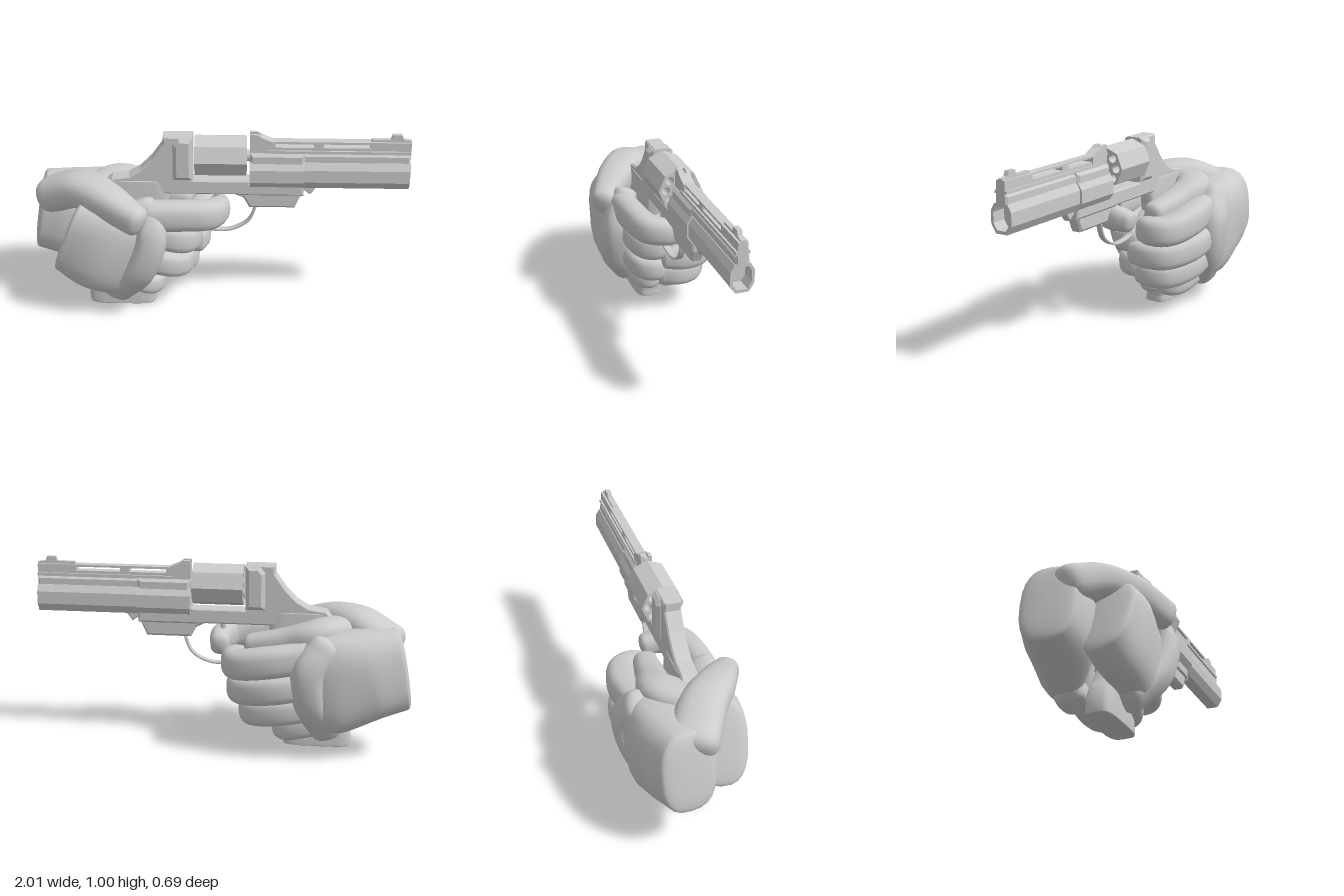
import * as THREE from 'three';

const material = new THREE.MeshStandardMaterial({ color: 0xcccccc });
const V = (x, y, z) => new THREE.Vector3(x, y, z);
const X = V(1, 0, 0), Y = V(0, 1, 0), Z = V(0, 0, 1);

function add(parent, name, geometry) {
  const mesh = new THREE.Mesh(geometry, material);
  mesh.name = name;
  parent.add(mesh);
  return mesh;
}

// Closed soft tube through points [x, y, z, a, b]; a is the half size along ref, b across it
function sweep(points, { ref = Y, square = 0.8, round = 0.8, steps = 24, sides = 24 } = {}) {
  const path = new THREE.CatmullRomCurve3(points.map(p => V(p[0], p[1], p[2])));
  const size = new THREE.CatmullRomCurve3(points.map(p => V(p[3], p[4], 0)), false, 'catmullrom');
  const pow = v => Math.sign(v) * Math.pow(Math.abs(v), square);
  const rings = [], caps = 6;
  for (let k = caps; k > 0; k--) rings.push([0, k / caps, -1]);
  for (let i = 0; i <= steps; i++) rings.push([i / steps, 0, 1]);
  for (let k = 1; k <= caps; k++) rings.push([1, k / caps, 1]);
  const pos = [], idx = [];
  rings.forEach(([u, cap, dir], r) => {
    const t = path.getTangent(u), s = size.getPoint(u), c = path.getPoint(u);
    const n1 = ref.clone().addScaledVector(t, -t.dot(ref)).normalize();
    const n2 = t.clone().cross(n1);
    const f = cap === 1 ? 0.001 : pow(Math.cos(cap * Math.PI / 2));
    c.addScaledVector(t, dir * pow(Math.sin(cap * Math.PI / 2)) * round * Math.min(s.x, s.y));
    for (let j = 0; j < sides; j++) {
      const w = j / sides * Math.PI * 2;
      const p = c.clone().addScaledVector(n1, s.x * f * pow(Math.cos(w)))
        .addScaledVector(n2, s.y * f * pow(Math.sin(w)));
      pos.push(p.x, p.y, p.z);
      if (r < rings.length - 1) {
        const a = r * sides + j, b = r * sides + (j + 1) % sides;
        idx.push(a, b, a + sides, b, b + sides, a + sides);
      }
    }
  });
  const g = new THREE.BufferGeometry();
  g.setAttribute('position', new THREE.Float32BufferAttribute(pos, 3));
  g.setIndex(idx);
  g.computeVertexNormals();
  return g;
}

const shapeOf = pts => new THREE.Shape(pts.map(p => new THREE.Vector2(p[0], p[1])));

// Side profile (x, y) given a thickness in z
function plate(pts, depth, bevel = 0, holes = []) {
  const shape = shapeOf(pts);
  holes.forEach(h => shape.holes.push(shapeOf(h)));
  const g = new THREE.ExtrudeGeometry(shape, {
    depth: depth - 2 * bevel, bevelEnabled: bevel > 0, bevelSize: bevel,
    bevelOffset: -bevel, bevelThickness: bevel, bevelSegments: 1,
  });
  return g.translate(0, 0, -depth / 2 + bevel);
}

// Section (z, y) extruded along x
function bar(shape, x0, x1) {
  return new THREE.ExtrudeGeometry(shape, { depth: x1 - x0, bevelEnabled: false })
    .rotateY(Math.PI / 2).translate(x0, 0, 0);
}

const rect = (x0, y0, x1, y1) => [[x0, y0], [x1, y0], [x1, y1], [x0, y1]];

// Tall octagon of the barrel, scaled about its centre
function octagon(k, wide = 0.06) {
  const half = [[0.55, -0.073], [1, -0.03], [1, 0.037], [0.65, 0.073]];
  const r = half.map(([z, y]) => [z * wide * k, 0.779 + y * k]);
  return [...r, ...r.slice().reverse().map(([z, y]) => [-z, y])];
}

function buildGun() {
  const gun = new THREE.Group();
  gun.name = 'revolver';
  gun.position.z = 0.037;

  // Frame with its sloping rear and recoil shield
  add(gun, 'frame', plate([[-0.6, 0.71], [-0.55, 0.75], [-0.46, 0.765], [-0.4, 0.8], [-0.34, 0.86],
    [-0.28, 0.945], [-0.28, 0.99], [-0.125, 0.99], [-0.125, 0.745], [0.17, 0.745], [0.17, 0.665],
    [-0.35, 0.665], [-0.45, 0.6]], 0.09, 0.008));
  add(gun, 'recoilShield', plate([[-0.23, 0.75], [-0.125, 0.75], [-0.125, 0.985], [-0.2, 0.985], [-0.23, 0.95]], 0.135, 0.02));

  // Cylinder with a ring of chambers
  const ring = (n, r, cx, cy) => Array.from({ length: n }, (_, i) => {
    const w = i / n * Math.PI * 2;
    return [cx + r * Math.cos(w), cy + r * Math.sin(w)];
  });
  const drum = shapeOf(ring(8, 0.112, 0, 0.873));
  ring(8, 0.074, 0, 0.873).forEach(([z, y]) => drum.holes.push(shapeOf(ring(12, 0.022, z, y))));
  add(gun, 'cylinder', bar(drum, -0.115, 0.155));
  add(gun, 'cylinderAxle', new THREE.CylinderGeometry(0.03, 0.03, 0.06, 12).rotateZ(Math.PI / 2).translate(0.16, 0.873, 0));

  // Barrel, thicker shroud and hollow muzzle
  add(gun, 'barrel', bar(shapeOf(octagon(1)), 0.4, 0.92));
  const muzzle = shapeOf(octagon(1));
  muzzle.holes.push(shapeOf(octagon(0.78)));
  add(gun, 'muzzle', bar(muzzle, 0.92, 1));
  add(gun, 'barrelShroud', bar(shapeOf(octagon(1.03, 0.068)), 0.17, 0.455));
  add(gun, 'shroudTop', plate(rect(0.17, 0.8, 0.455, 0.9), 0.1, 0.015));
  add(gun, 'barrelRail', plate(rect(0.26, 0.84, 1, 0.895), 0.07, 0.01));
  add(gun, 'railLip', plate(rect(0.26, 0.9, 1, 0.915), 0.07));
  add(gun, 'ventRib', plate(rect(0.2, 0.89, 1, 0.962), 0.05, 0,
    [rect(0.3, 0.93, 0.5, 0.95), rect(0.55, 0.93, 0.79, 0.95)]));

  // Sights
  add(gun, 'rearSightBase', plate([[0.17, 0.88], [0.3, 0.88], [0.3, 0.955], [0.23, 0.985], [0.17, 0.985]], 0.06));
  for (const side of [-1, 1]) {
    add(gun, 'rearSightPost', plate([[0.17, 0.97], [0.25, 0.97], [0.21, 1], [0.17, 1]], 0.018)).position.z = side * 0.02;
  }
  add(gun, 'frontSight', plate([[0.79, 0.95], [1, 0.95], [1, 0.97], [0.96, 0.975], [0.95, 1], [0.905, 1],
    [0.895, 0.975], [0.8, 0.975]], 0.025));

  // Underside: lower frame, lug, guard, trigger
  add(gun, 'lowerFrame', plate(rect(0.1, 0.66, 0.455, 0.73), 0.09, 0.01));
  add(gun, 'underLug', plate([[0.05, 0.68], [0.14, 0.64], [0.17, 0.585], [0.41, 0.585], [0.455, 0.69]], 0.07, 0.012));
  add(gun, 'latchLug', plate([[0.45, 0.715], [0.45, 0.69], [0.49, 0.66], [0.53, 0.715]], 0.045, 0.006));
  add(gun, 'triggerGuard', sweep([[0.21, 0.6, 0], [0.17, 0.5, 0], [0.08, 0.445, 0], [-0.02, 0.44, 0],
    [-0.12, 0.47, 0], [-0.22, 0.56, 0]].map(p => [...p, 0.017, 0.007]), { ref: Z, square: 0.4, sides: 12 }));
  add(gun, 'trigger', sweep([[0, 0.68, 0, 0.012, 0.016], [0.0, 0.58, 0, 0.012, 0.013], [0.04, 0.5, 0, 0.01, 0.008]], { ref: Z, sides: 12 }));

  // Flared grip
  add(gun, 'grip', sweep([[-0.42, 0.735, 0, 0.05, 0.15], [-0.42, 0.64, 0, 0.055, 0.17], [-0.42, 0.42, 0, 0.06, 0.13],
    [-0.48, 0.16, 0, 0.07, 0.16], [-0.515, 0.06, 0, 0.074, 0.182], [-0.515, 0.008, 0, 0.074, 0.182]],
  { ref: Z, square: 0.5, round: 0.1 }));
  return gun;
}

// Finger curling from knuckle kx forward to front, then across to tip
function finger(parent, name, y, kx, front, out, tip, r) {
  add(parent, name, sweep([
    [kx, y + 0.06, out * 0.93, r, r * 0.95],
    [(kx + front) / 2, y + 0.03, out, r * 1.06, r],
    [front - 0.03, y, out * 0.7 + tip * 0.3, r * 1.02, r],
    [front, y, out * 0.3 + tip * 0.7, r, r * 0.9],
    [front - 0.015, y, tip, r * 0.92, r * 0.8],
  ], { square: 0.7, round: 0.7 }));
}

function buildRightHand() {
  const hand = new THREE.Group();
  hand.name = 'rightHand';
  add(hand, 'palm', sweep([[-0.765, 0.455, 0.135, 0.225, 0.135], [-0.63, 0.4, 0.16, 0.255, 0.135],
    [-0.47, 0.345, 0.16, 0.245, 0.115]], { square: 0.75, round: 0.2 }));
  add(hand, 'knuckleRidge', sweep([[-0.39, 0.64, 0.17, 0.075, 0.065], [-0.335, 0.5, 0.235, 0.08, 0.075],
    [-0.4, 0.3, 0.23, 0.085, 0.08], [-0.53, 0.14, 0.14, 0.09, 0.08]], { ref: X, round: 0.6 }));
  finger(hand, 'middleFinger', 0.42, -0.34, -0.14, 0.15, 0.02, 0.073);
  finger(hand, 'ringFinger', 0.265, -0.42, -0.18, 0.14, 0.02, 0.068);
  finger(hand, 'littleFinger', 0.122, -0.5, -0.33, 0.105, 0.02, 0.055);
  add(hand, 'indexFinger', sweep([[-0.34, 0.59, 0.19, 0.085, 0.07], [-0.18, 0.59, 0.18, 0.083, 0.07],
    [-0.04, 0.58, 0.145, 0.08, 0.068], [0.01, 0.57, 0.06, 0.072, 0.06], [0.01, 0.56, -0.01, 0.06, 0.052]]));
  add(hand, 'thumb', sweep([[-0.64, 0.65, 0.01, 0.08, 0.1], [-0.52, 0.655, -0.11, 0.08, 0.1],
    [-0.36, 0.61, -0.1, 0.075, 0.08], [-0.18, 0.575, -0.075, 0.065, 0.065]]));
  return hand;
}

function buildLeftHand() {
  const hand = new THREE.Group();
  hand.name = 'leftHand';
  add(hand, 'palm', sweep([[-0.95, 0.485, -0.095, 0.22, 0.145], [-0.78, 0.455, -0.115, 0.245, 0.175],
    [-0.6, 0.41, -0.17, 0.265, 0.14], [-0.46, 0.37, -0.18, 0.24, 0.1]], { square: 0.75, round: 0.2 }));
  add(hand, 'knuckleRidge', sweep([[-0.55, 0.6, -0.22, 0.09, 0.085], [-0.48, 0.5, -0.255, 0.09, 0.085],
    [-0.49, 0.33, -0.235, 0.09, 0.08], [-0.57, 0.17, -0.15, 0.09, 0.08]], { ref: X }));
  finger(hand, 'indexFinger', 0.5, -0.46, -0.08, -0.225, -0.07, 0.078);
  finger(hand, 'middleFinger', 0.355, -0.48, -0.1, -0.235, 0.005, 0.072);
  finger(hand, 'ringFinger', 0.227, -0.52, -0.16, -0.2, 0, 0.068);
  finger(hand, 'littleFinger', 0.122, -0.58, -0.33, -0.125, -0.03, 0.057);
  // Thumb crossing over the other hand
  add(hand, 'thumb', sweep([[-0.86, 0.61, -0.04, 0.1, 0.13], [-0.72, 0.675, 0.05, 0.095, 0.12],
    [-0.57, 0.665, 0.17, 0.09, 0.1], [-0.42, 0.61, 0.275, 0.08, 0.07]]));
  return hand;
}

export function createModel() {
  const model = new THREE.Group();
  model.name = 'revolverInTwoHands';
  model.add(buildGun(), buildRightHand(), buildLeftHand());
  return model;
}
